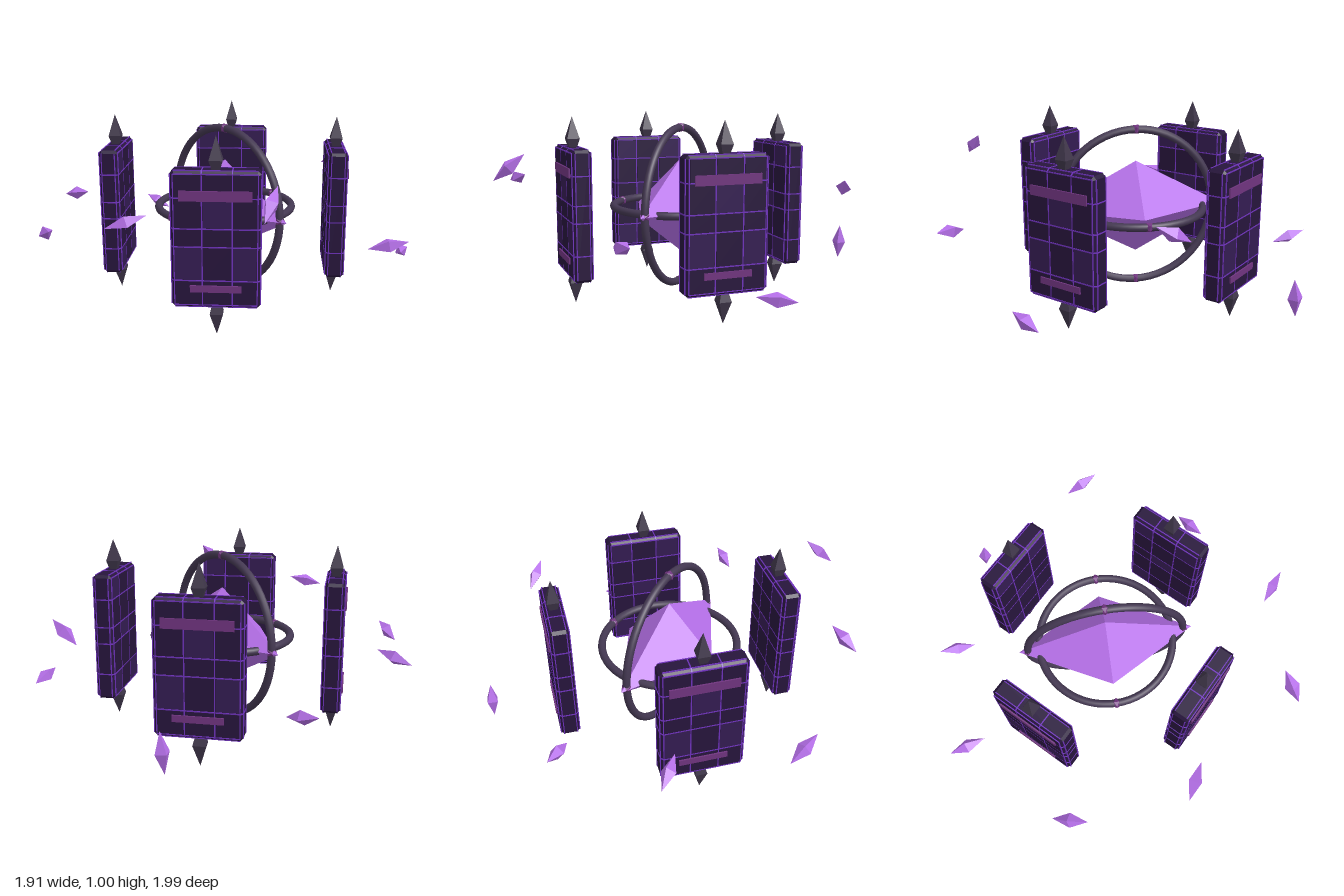
import * as THREE from 'three';

const mat = (color) => new THREE.MeshStandardMaterial({ color, flatShading: true });
const crystalMat = mat(0xb56fe8);
const darkMat = mat(0x27153c);
const plateMat = mat(0x341c52);
const trimMat = mat(0x6f32bd);
const bandMat = mat(0x70347f);
const spikeMat = mat(0x40374b);
const ringMat = new THREE.MeshStandardMaterial({ color: 0x443852 });

function add(parent, name, geometry, material, x = 0, y = 0, z = 0) {
  const mesh = new THREE.Mesh(geometry, material);
  mesh.name = name;
  mesh.position.set(x, y, z);
  parent.add(mesh);
  return mesh;
}

// Rectangle with its four corners cut off by c
function cutRect(w, h, c) {
  const a = w / 2, b = h / 2;
  return new THREE.Shape([
    [-a + c, -b], [a - c, -b], [a, -b + c], [a, b - c],
    [a - c, b], [-a + c, b], [-a, b - c], [-a, -b + c],
  ].map(([x, y]) => new THREE.Vector2(x, y)));
}

// Chamfered block, centred on the origin, w by h by d
function block(w, h, d, c) {
  return new THREE.ExtrudeGeometry(cutRect(w, h, c), {
    depth: d - 2 * c, bevelThickness: c, bevelSize: c, bevelOffset: -c, bevelSegments: 1,
  }).translate(0, 0, -d / 2 + c);
}

// Flat slice of a chamfered profile, centred along its depth
function slice(w, h, depth, c) {
  return new THREE.ExtrudeGeometry(cutRect(w, h, c), { depth, bevelEnabled: false })
    .translate(0, 0, -depth / 2);
}

// Stretched octahedron standing along y
const spindle = (r, half) => new THREE.OctahedronGeometry(1).scale(r, half, r);

const W = 0.43, H = 0.68, T = 0.1, C = 0.015;

function makePanel() {
  const panel = new THREE.Group();
  panel.name = 'panel';
  add(panel, 'panelBody', block(W, H, T, C), darkMat);

  // Bright seams wrapping the whole slab
  const cols = [-0.2, -0.065, 0.08, 0.2];
  const rows = [-0.325, -0.2, -0.03, 0.06, 0.21, 0.325];
  const g = 0.005;
  for (const y of rows.slice(1, -1)) {
    add(panel, 'rowSeam', slice(W + g, T + g, 0.006, C).rotateX(Math.PI / 2), trimMat, 0, y, 0);
  }
  for (const x of cols.slice(1, -1)) {
    add(panel, 'columnSeam', slice(T + g, H + g, 0.006, C).rotateY(Math.PI / 2), trimMat, x, 0, 0);
  }

  for (const s of [-1, 1]) {
    const z = s * T / 2;
    // Border seams on the faces and along the rim
    for (const e of [-1, 1]) {
      add(panel, 'sideTrim', new THREE.BoxGeometry(0.005, H - 2 * C, 0.005), trimMat, e * (W / 2 - C), 0, z);
      add(panel, 'edgeTrim', new THREE.BoxGeometry(W - 2 * C, 0.005, 0.005), trimMat, 0, e * (H / 2 - C), z);
      add(panel, 'rimTrim', new THREE.BoxGeometry(0.005, H - 2 * C, 0.005), trimMat, e * W / 2, 0, s * (T / 2 - C));
      add(panel, 'rimTrim', new THREE.BoxGeometry(W - 2 * C, 0.005, 0.005), trimMat, 0, e * H / 2, s * (T / 2 - C));
    }
    // Plates between the seams
    for (let i = 0; i < cols.length - 1; i++) {
      for (let j = 0; j < rows.length - 1; j++) {
        const w = cols[i + 1] - cols[i] - 0.008, h = rows[j + 1] - rows[j] - 0.008;
        const tone = (i * 2 + j * 3 + (s > 0 ? 1 : 0)) % 4 === 0 ? plateMat : darkMat;
        add(panel, 'plate', new THREE.BoxGeometry(w, h, 0.004), tone,
          (cols[i] + cols[i + 1]) / 2, (rows[j] + rows[j + 1]) / 2, z);
      }
    }
  }

  // Bands on the outer face
  add(panel, 'upperBand', new THREE.BoxGeometry(0.345, 0.05, 0.02), bandMat, 0, 0.222, T / 2);
  add(panel, 'lowerBand', new THREE.BoxGeometry(0.25, 0.034, 0.02), bandMat, 0, -0.24, T / 2);

  // Spikes above and below
  for (const s of [-1, 1]) {
    const spike = add(panel, 'spike', spindle(0.046, 0.115), spikeMat, 0, s * 0.385, 0);
    spike.rotation.y = Math.PI / 4;
  }
  return panel;
}

// Ring with a small node at each quarter
function makeRing(name, radius) {
  const ring = new THREE.Group();
  ring.name = name;
  add(ring, 'hoop', new THREE.TorusGeometry(radius, 0.021, 10, 64), ringMat);
  for (let i = 0; i < 4; i++) {
    const a = i * Math.PI / 2;
    add(ring, 'ringNode', new THREE.IcosahedronGeometry(0.028, 0), bandMat,
      Math.cos(a) * radius, Math.sin(a) * radius, 0);
  }
  return ring;
}

export function createModel() {
  const model = new THREE.Group();
  model.name = 'floatingCrystal';

  const core = new THREE.Group();
  core.name = 'core';
  core.position.set(0.008, 0.51, -0.06);
  model.add(core);

  // Central crystal
  add(core, 'crystal', new THREE.OctahedronGeometry(1).scale(0.26, 0.257, 0.48), crystalMat);

  // Crossed rings
  const upright = makeRing('uprightRing', 0.43);
  upright.rotation.y = Math.PI / 2;
  const level = makeRing('levelRing', 0.368);
  level.rotation.x = Math.PI / 2;
  core.add(upright, level);

  // Four panels facing outward
  for (const sx of [-1, 1]) {
    for (const sz of [-1, 1]) {
      const panel = makePanel();
      panel.position.set(sx * 0.425, 0, sz * 0.425);
      panel.rotation.y = Math.atan2(sx, sz);
      core.add(panel);
    }
  }

  // Drifting shards: position, then direction of the long axis
  const shards = [
    [-0.46, 0.5, -0.87, 0.04, 0.04, 0.18],
    [0.155, 0.335, -0.9, 0.03, -0.05, 0.19],
    [0.765, 0.245, -0.695, 0.01, 0.2, 0.02],
    [-0.92, 0.46, -0.395, -0.05, 0.06, 0.16],
    [0.913, 0.66, -0.055, 0.04, 0.09, 0.16],
    [-0.857, 0.655, 0.255, 0.17, 0.05, 0.09],
    [0.775, 0.235, 0.59, 0.165, -0.035, -0.11],
    [-0.49, 0.785, 0.81, 0.13, 0.12, -0.06],
    [0.18, 0.483, 0.93, 0.15, 0.035, 0.125],
  ];
  const up = new THREE.Vector3(0, 1, 0);
  for (const [x, y, z, dx, dy, dz] of shards) {
    const shard = add(model, 'shard', spindle(0.038, 0.1), crystalMat, x, y, z);
    shard.quaternion.setFromUnitVectors(up, new THREE.Vector3(dx, dy, dz).normalize());
  }
  return model;
}
